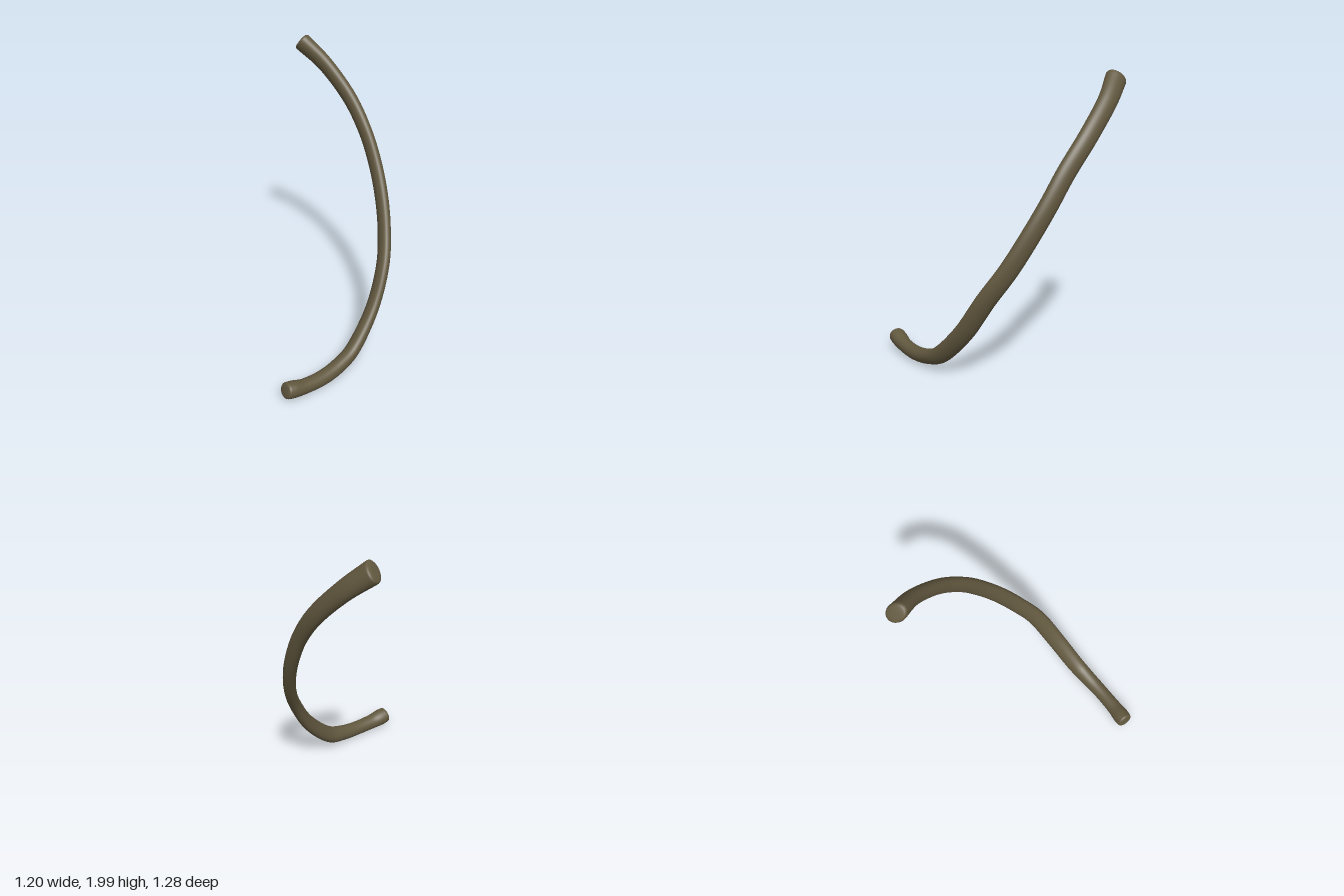
import * as THREE from 'three';

// Stations along the shaft: centre x, y, z, then half thickness and half width
const STATIONS = [
  [-0.585, 0.09, 0.583, 0.055, 0.06],
  [-0.54, 0.08, 0.585, 0.056, 0.064],
  [-0.45, 0.065, 0.59, 0.05, 0.057],
  [-0.3, 0.062, 0.587, 0.05, 0.055],
  [-0.15, 0.085, 0.57, 0.05, 0.06],
  [0, 0.15, 0.542, 0.048, 0.067],
  [0.2, 0.357, 0.485, 0.043, 0.068],
  [0.345, 0.6, 0.41, 0.042, 0.067],
  [0.44, 0.8, 0.305, 0.042, 0.066],
  [0.5, 1.0, 0.195, 0.043, 0.065],
  [0.535, 1.2, 0.075, 0.043, 0.064],
  [0.545, 1.4, -0.055, 0.043, 0.064],
  [0.535, 1.6, -0.225, 0.046, 0.065],
  [0.475, 1.8, -0.425, 0.05, 0.068],
  [0.385, 1.94, -0.575, 0.058, 0.076],
];
const SIDES = 28;
const STEPS = 110;
// Rounded end: distance beyond the last station, ring scale
const CAP = [[0.009, 0.95], [0.014, 0.85], [0.017, 0.65], [0.018, 0.35], [0.018, 0.001]];

function boneGeometry() {
  const path = new THREE.CatmullRomCurve3(
    STATIONS.map(([x, y, z]) => new THREE.Vector3(x, y, z)), false, 'catmullrom');
  const size = new THREE.CatmullRomCurve3(
    STATIONS.map((s) => new THREE.Vector3(s[3], s[4], 0)), false, 'catmullrom');
  const planeNormal = new THREE.Vector3(-0.236, 0.6, 0.762);

  // Rings: curve parameter, push along the tangent, scale
  const rings = [...CAP].reverse().map(([d, s]) => [0, -d, s]);
  for (let i = 0; i <= STEPS; i++) rings.push([i / STEPS, 0, 1]);
  CAP.forEach(([d, s]) => rings.push([1, d, s]));

  const positions = [];
  const indices = [];
  rings.forEach(([t, push, scale], i) => {
    const tangent = path.getTangent(t);
    const centre = path.getPoint(t).addScaledVector(tangent, push);
    const { x: thick, y: wide } = size.getPoint(t);
    // The wide axis stays square to the plane of the arc
    const across = planeNormal.clone()
      .addScaledVector(tangent, -planeNormal.dot(tangent)).normalize();
    const radial = across.clone().cross(tangent);
    for (let j = 0; j < SIDES; j++) {
      const a = (j / SIDES) * Math.PI * 2;
      const p = centre.clone()
        .addScaledVector(radial, Math.cos(a) * thick * scale)
        .addScaledVector(across, Math.sin(a) * wide * scale);
      positions.push(p.x, p.y, p.z);
      if (i < rings.length - 1) {
        const k = (j + 1) % SIDES;
        const q = i * SIDES;
        const r = q + SIDES;
        indices.push(q + j, q + k, r + j, q + k, r + k, r + j);
      }
    }
  });

  const geometry = new THREE.BufferGeometry();
  geometry.setAttribute('position', new THREE.Float32BufferAttribute(positions, 3));
  geometry.setIndex(indices);
  geometry.computeVertexNormals();
  return geometry;
}

export function createModel() {
  const group = new THREE.Group();
  group.name = 'rib';
  const bone = new THREE.Mesh(
    boneGeometry(), new THREE.MeshStandardMaterial({ color: 0x62583f }));
  bone.name = 'ribBone';
  group.add(bone);
  return group;
}
